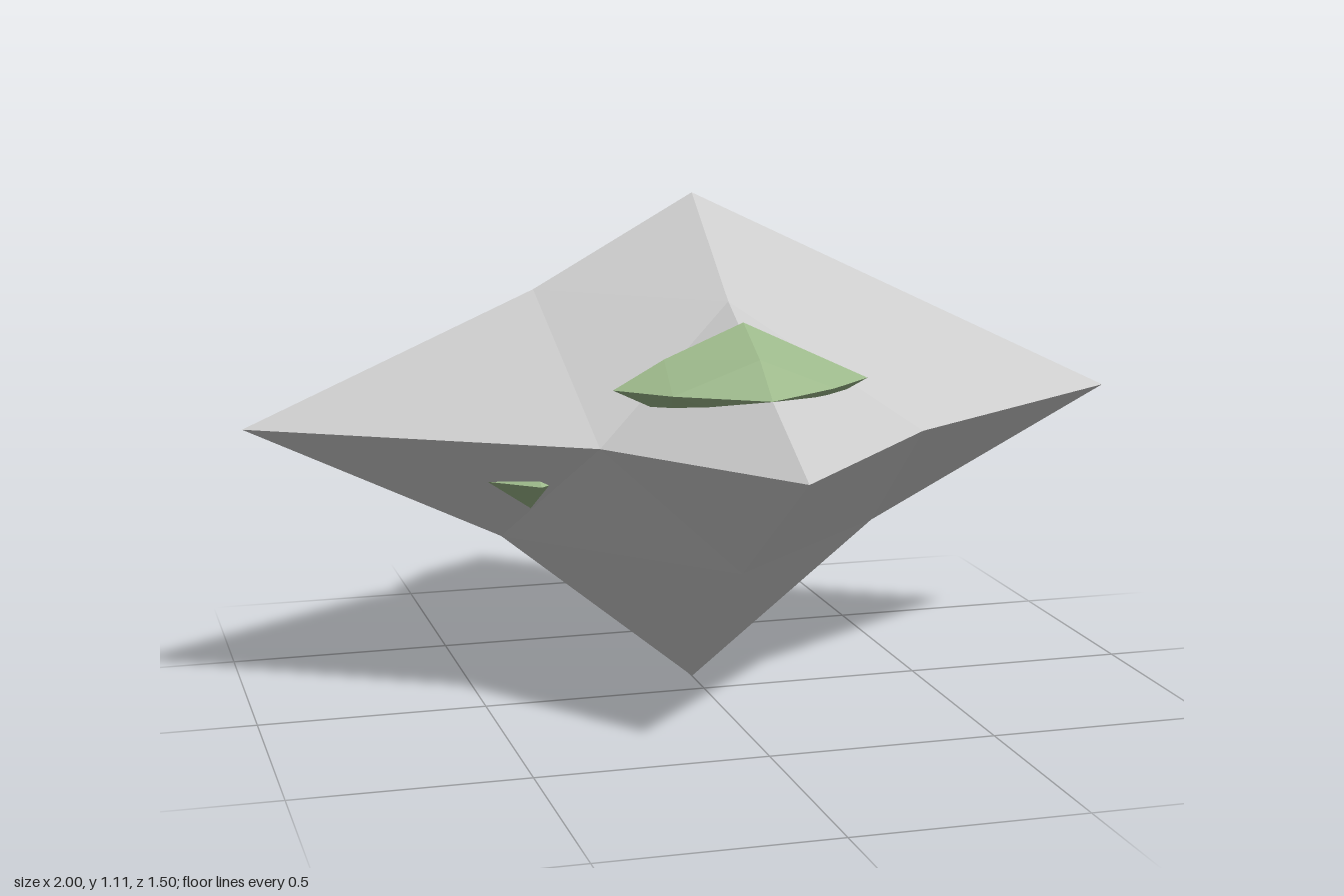
import * as THREE from 'three';

// Irregular faceted stone: an octahedron split once, with six uneven corner
// distances and a fraction pair for the point on each of its twelve edges.
function stone(name, color, center, reach, mids = {}) {
  const corner = (axis, sign) => {
    const p = new THREE.Vector3();
    p[axis] = sign * reach[(sign > 0 ? '+' : '-') + axis];
    return p;
  };
  const tag = (axis, sign) => (sign > 0 ? '+' : '-') + axis;
  const mid = (a, sa, b, sb) => {
    const [fa, fb] = mids[tag(a, sa) + tag(b, sb)] ?? [0.56, 0.54];
    return corner(a, sa).multiplyScalar(fa).add(corner(b, sb).multiplyScalar(fb));
  };

  const points = [];
  for (const sx of [1, -1]) for (const sy of [1, -1]) for (const sz of [1, -1]) {
    const x = corner('x', sx), y = corner('y', sy), z = corner('z', sz);
    const xy = mid('x', sx, 'y', sy), yz = mid('y', sy, 'z', sz), xz = mid('x', sx, 'z', sz);
    const faces = [[x, xy, xz], [y, yz, xy], [z, xz, yz], [xy, yz, xz]];
    for (const [a, b, c] of faces) {
      points.push(...(sx * sy * sz > 0 ? [a, b, c] : [a, c, b]));
    }
  }
  const geometry = new THREE.BufferGeometry().setFromPoints(points);
  geometry.computeVertexNormals();
  const mesh = new THREE.Mesh(geometry, new THREE.MeshStandardMaterial({ color, flatShading: true }));
  mesh.name = name;
  mesh.position.set(...center);
  return mesh;
}

export function createModel() {
  const group = new THREE.Group();
  group.name = 'mossyRock';
  const moss = 0x9cb88a;

  // Main boulder
  group.add(stone('boulder', 0xcccccc, [0, 0.63, -0.1],
    { '+x': 1, '-x': 1, '+y': 0.48, '-y': 0.63, '+z': 0.85, '-z': 0.58 },
    {
      '+x+y': [0.38, 0.62], '-x+y': [0.36, 0.58], '+x-y': [0.43, 0.46], '-x-y': [0.44, 0.43],
      '+y+z': [0.58, 0.34], '+y-z': [0.58, 0.62], '-y+z': [0.46, 0.47], '-y-z': [0.49, 0.60],
      '+x+z': [0.40, 0.48], '-x+z': [0.31, 0.48], '+x-z': [0.41, 0.67], '-x-z': [0.40, 0.72],
    }));

  // Moss clump on the front ridge
  group.add(stone('frontMoss', moss, [0, 0.75, 0.3],
    { '+x': 0.275, '-x': 0.28, '+y': 0.13, '-y': 0.11, '+z': 0.21, '-z': 0.2 },
    {
      '+x+y': [0.5, 0.5], '-x+y': [0.61, 0.46], '+y+z': [0.54, 0.57],
      '+x+z': [0.61, 0.48], '-x+z': [0.64, 0.48],
    }));

  // Moss clump on the back ridge
  group.add(stone('backMoss', moss, [0, 0.75, -0.49],
    { '+x': 0.21, '-x': 0.29, '+y': 0.12, '-y': 0.12, '+z': 0.2, '-z': 0.265 },
    {
      '+y-z': [0.66, 0.38], '-y-z': [0.42, 0.54],
      '+x-z': [0.71, 0.54], '-x-z': [0.59, 0.54],
    }));

  // Small clump mostly buried in the lower right side
  group.add(stone('sideMoss', moss, [-0.4, 0.52, -0.11],
    { '+x': 0.24, '-x': 0.24, '+y': 0.12, '-y': 0.13, '+z': 0.26, '-z': 0.26 }));

  return group;
}
